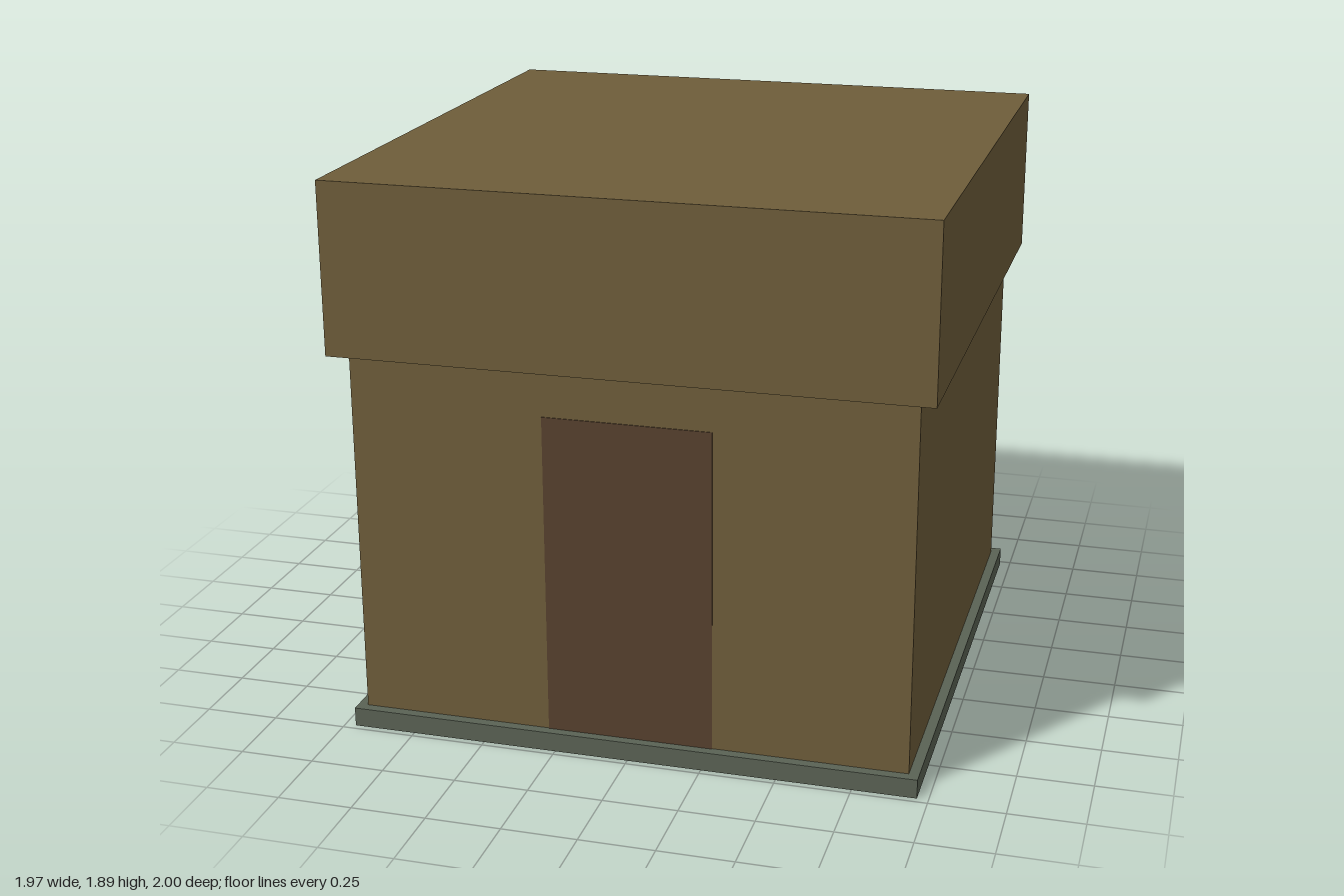
import * as THREE from 'three';

const material = (name, color) => {
  const m = new THREE.MeshStandardMaterial({ color, side: THREE.DoubleSide });
  m.name = name;
  return m;
};

// Box shell without its bottom face, spanning y0 to y1
function openBox(name, width, depth, y0, y1, mat) {
  const geo = new THREE.BoxGeometry(width, y1 - y0, depth);
  const index = Array.from(geo.index.array);
  index.splice(18, 6); // the downward face
  geo.setIndex(index);
  geo.clearGroups();
  geo.translate(0, (y0 + y1) / 2, 0);
  const mesh = new THREE.Mesh(geo, mat);
  mesh.name = name;
  return mesh;
}

export function createModel() {
  const timber = material('timber brown', 0x6e5d3a);
  const stone = material('stone grey green', 0x5a6254);
  const doorWood = material('door brown', 0x57412e);

  const hut = new THREE.Group();
  hut.name = 'hut';

  // Hollow plinth, walls and overhanging hollow roof
  hut.add(
    openBox('foundation', 1.925, 1.957, 0, 0.065, stone),
    openBox('walls', 1.858, 1.888, 0.065, 1.32, timber),
    openBox('roof', 1.97, 2, 1.32, 1.895, timber)
  );

  // Door plate on the front wall
  const door = new THREE.Mesh(new THREE.BoxGeometry(0.56, 1.095, 0.006), doorWood);
  door.name = 'door';
  door.position.set(0, 0.065 + 1.095 / 2, 0.944);
  hut.add(door);

  return hut;
}
